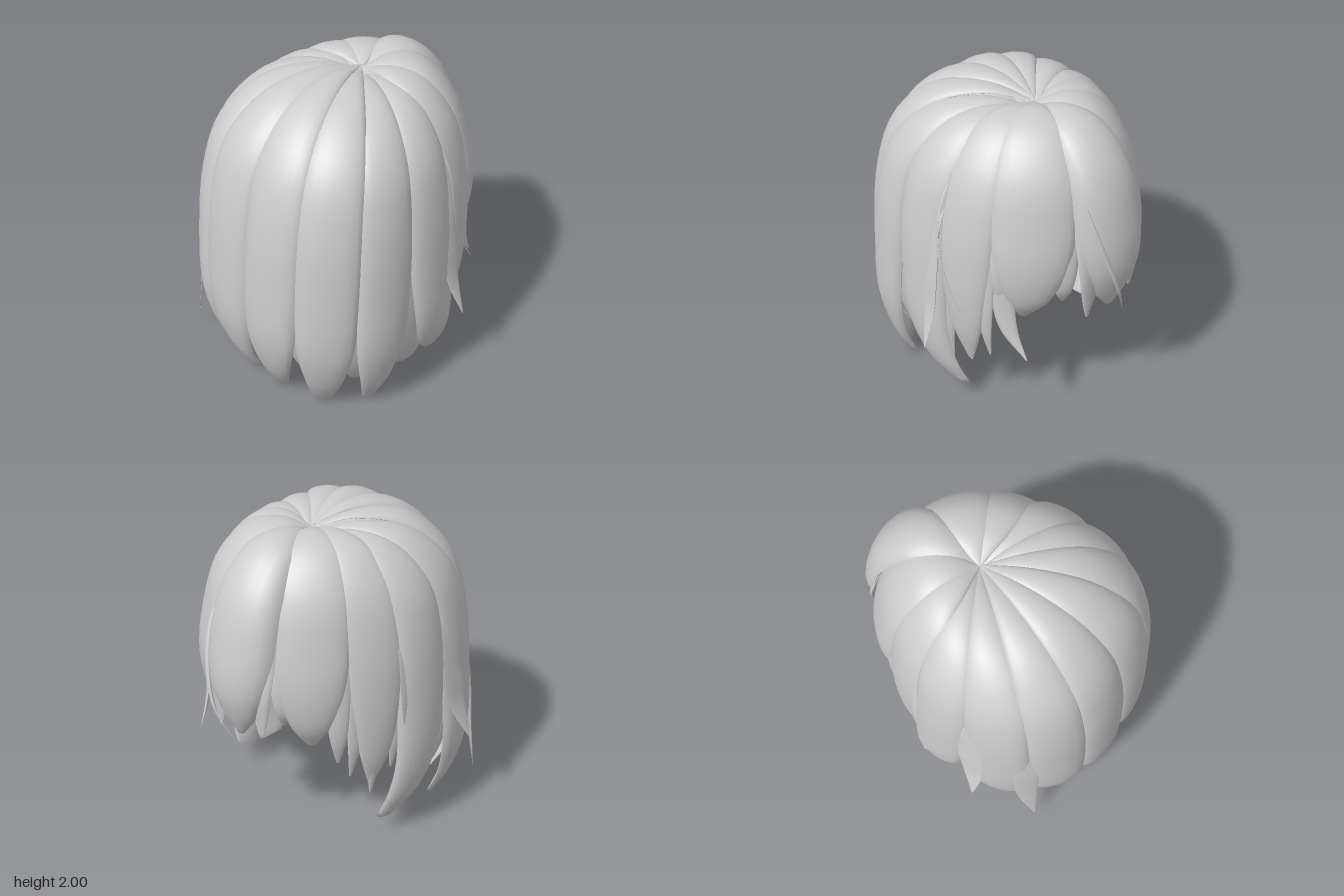
import * as THREE from 'three';

const V = (x, y, z) => new THREE.Vector3(x, y, z);
const POLE = V(0, 0, -0.13); // crown where all locks meet
const material = new THREE.MeshStandardMaterial({ color: 0xcccccc, side: THREE.DoubleSide });

// Lens-shaped lock swept along a path; side = direction across the lock.
function sweep(name, points, widths, side, bulge, rows = 32, cols = 10) {
  const path = new THREE.CatmullRomCurve3(points);
  const wide = new THREE.CatmullRomCurve3(widths.map((w, i) => V(w, i * 0.1, 0)));
  const pos = [], index = [], ring = 2 * (cols + 1);
  for (let i = 0; i <= rows + 1; i++) {
    const t = Math.min(i / rows, 1);
    const p = path.getPoint(t);
    const normal = V().crossVectors(side, path.getTangent(t)).normalize();
    const w = i > rows ? 0 : Math.max(wide.getPoint(t).x, 0.002); // last row closes the tip
    for (let j = 0; j < ring; j++) {
      const outer = j <= cols;
      const a = Math.PI * (outer ? j : ring - 1 - j) / cols;
      const q = p.clone().addScaledVector(side, -Math.cos(a) * w)
        .addScaledVector(normal, Math.sin(a) * w * (outer ? bulge : -0.12));
      pos.push(q.x, q.y, q.z);
      if (i <= rows && j < ring - 1 && j !== cols) {
        const k = i * ring + j;
        index.push(k, k + 1, k + ring, k + 1, k + ring + 1, k + ring);
      }
    }
  }
  const geo = new THREE.BufferGeometry();
  geo.setAttribute('position', new THREE.Float32BufferAttribute(pos, 3));
  geo.setIndex(index);
  geo.computeVertexNormals();
  const mesh = new THREE.Mesh(geo, material);
  mesh.name = name;
  return mesh;
}

// Lock from the crown over the rim chord a-b. Profile rows: [radius fraction, y, width fraction].
function lock(name, a, b, profile, { bulge = 0.4, drift = 0, scale = 1, drop = 0, widen = 1 } = {}) {
  const A = V(a[0], 0, a[1]), B = V(b[0], 0, b[1]);
  const side = B.clone().sub(A).normalize();
  const half = A.distanceTo(B) / 2 * 1.05 * widen;
  const reach = A.add(B).multiplyScalar(0.5).sub(POLE).multiplyScalar(scale);
  const last = profile.length - 1;
  const points = profile.map(([r, y], i) => POLE.clone().addScaledVector(reach, r)
    .addScaledVector(side, drift * Math.max(0, (i - 3) / (last - 3)) ** 2) // sideways swing of the tip
    .add(V(0, y - drop * (1 - i / last), 0)));
  return sweep(name, points, profile.map(row => row[2] * half), side, bulge);
}

const backProfile = (tip, endW = 0.28) => [
  [0, 1.92, 0.02], [0.28, 1.965, 0.33], [0.6, 1.89, 0.7], [0.84, 1.67, 0.94], [0.95, 1.36, 1],
  [1, 0.95, 1.02], [1.015, 0.52 + tip * 0.5, 0.92], [0.96, 0.22 + tip * 0.8, 0.32 + endW], [0.86, tip, endW]];

const bangProfile = (tip, endR) => {
  const y = k => 1.35 + (tip - 1.35) * k;
  return [[0, 1.92, 0.02], [0.28, 1.945, 0.42], [0.55, 1.885, 0.74], [0.8, 1.68, 0.93], [0.94, 1.35, 0.97],
    [1, y(0.4), 0.82], [1, y(0.75), 0.5], [endR, tip, 0.1]];
};

const mix = (a, b, t) => [a[0] + (b[0] - a[0]) * t, a[1] + (b[1] - a[1]) * t];

export function createModel() {
  const root = new THREE.Group();
  root.name = 'hair';
  const groups = {};
  for (const n of ['longLocks', 'underLocks', 'bangs', 'looseStrands']) {
    groups[n] = new THREE.Group();
    groups[n].name = n;
    root.add(groups[n]);
  }

  // Long locks around the head, with a second layer underneath filling the gaps
  const rim = [[0.72, -0.12], [0.75, 0.24], [0.67, 0.58], [0.4, 0.82], [0.03, 0.87],
    [-0.34, 0.83], [-0.62, 0.61], [-0.74, 0.24], [-0.71, -0.12]];
  const tips = [0.13, 0.01, 0.01, 0.03, 0.03, 0.02, 0.02, 0.13];
  const drifts = [-0.17, 0.08, 0.07, 0.07, 0, -0.05, -0.06, 0.15];
  const drops = [0.06, 0.05, 0.01, -0.01, -0.01, 0.01, 0.05, 0.06];
  const underDrifts = [-0.1, 0, 0, 0, 0, 0, 0.1];
  tips.forEach((tip, i) => groups.longLocks.add(lock('longLock', rim[i], rim[i + 1],
    backProfile(tip, tip > 0.1 ? 0.45 : 0.28), { drift: drifts[i], drop: drops[i] })));
  underDrifts.forEach((drift, i) => groups.underLocks.add(lock('underLock',
    mix(rim[i], rim[i + 1], 0.5), mix(rim[i + 1], rim[i + 2], 0.5),
    backProfile(0.1, i % 6 ? 0.3 : 0.55), { scale: 0.92, drop: 0.09, bulge: 0.3, drift })));

  // Bangs: a tapering lock with narrower pointed strands below each one
  const bangs = [
    { a: [-0.71, -0.1], b: [-0.55, -0.43], tip: 0.42, bulge: 0.35, ends: [0.5, 0.34, 0.5], endR: 0.95 },
    { a: [-0.56, -0.42], b: [-0.24, -0.74], tip: 0.74, bulge: 0.35, ends: [0.6, 0.83, 0.88], endR: 0.93 },
    { a: [-0.26, -0.79], b: [0.21, -0.8], tip: 0.8, bulge: 0.6, ends: [0.85, 0.88, 0.78], endR: 1, drop: 0.04 },
    { a: [0.22, -0.76], b: [0.6, -0.45], tip: 0.78, bulge: 0.36, ends: [0.88, 0.88, 0.82], endR: 0.93, drift: 0.06 },
    { a: [0.6, -0.45], b: [0.72, -0.1], tip: 0.38, bulge: 0.35, ends: [0.46, 0.36, 0.33], endR: 0.95 }];
  for (const { a, b, tip, bulge, ends, endR, drift = 0, drop = 0.01 } of bangs) {
    groups.bangs.add(lock('bang', a, b, bangProfile(tip, endR), { bulge, drift, drop }));
    ends.forEach((end, i) => groups.bangs.add(lock('bangStrand', mix(a, b, i / 3), mix(a, b, (i + 1) / 3),
      bangProfile(end, endR), { scale: 0.99, drop: drop + 0.03, drift: (i - 1) * 0.02, widen: 1.25 })));
  }

  // Loose strands that flick away from the sides and the front
  const strand = (pts, w, side) => groups.looseStrands.add(sweep('looseStrand', pts.map(p => V(...p)),
    [0.1, 0.6, 1, 0.8, 0.06].map(k => k * w), V(...side).normalize(), 0.35, 24, 6));
  strand([[0.5, 1.75, -0.13], [0.71, 1.4, -0.1], [0.78, 1, -0.09], [0.81, 0.75, -0.1], [0.88, 0.51, -0.13]], 0.06, [0, 0, -1]);
  strand([[-0.45, 1.8, 0.1], [-0.71, 1.4, 0.25], [-0.78, 1, 0.29], [-0.81, 0.8, 0.32], [-0.88, 0.58, 0.36]], 0.09, [0, 0, 1]);
  strand([[-0.4, 1.8, -0.11], [-0.67, 1.4, -0.1], [-0.74, 1.05, -0.08], [-0.75, 0.8, -0.07], [-0.79, 0.5, -0.07]], 0.08, [0, 0, 1]);
  strand([[-0.42, 1.76, 0.33], [-0.6, 1.35, 0.54], [-0.66, 0.9, 0.62], [-0.68, 0.5, 0.65], [-0.68, 0.09, 0.72]], 0.08, [0.6, 0, 0.7]);
  strand([[0.55, 1.75, -0.12], [0.71, 1.5, -0.13], [0.76, 1.2, -0.15], [0.75, 0.95, -0.24], [0.73, 0.75, -0.37]], 0.014, [0, 0, -1]);
  strand([[0.17, 1.75, -0.67], [0.17, 1.5, -0.82], [0.12, 1.25, -0.91], [0.04, 1, -0.94], [-0.07, 0.77, -0.87]], 0.015, [1, 0, 0]);
  strand([[0.42, 1.65, -0.5], [0.53, 1.3, -0.52], [0.55, 1, -0.49], [0.54, 0.72, -0.53], [0.5, 0.53, -0.65]], 0.07, [0.6, 0, 0.8]);
  return root;
}
